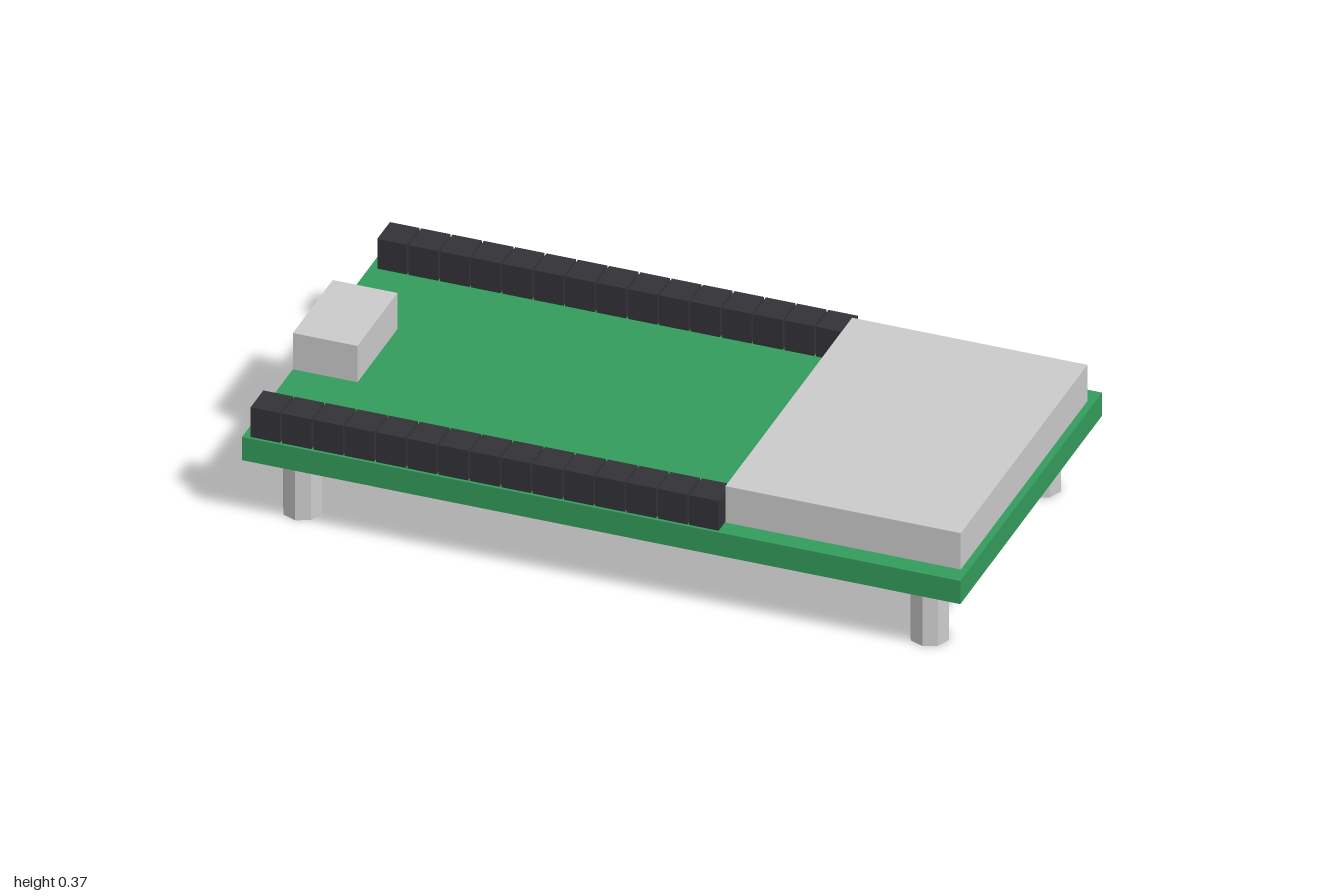
import * as THREE from 'three';

const grey = new THREE.MeshStandardMaterial({ color: 0xcccccc, flatShading: true });
const green = new THREE.MeshStandardMaterial({ color: 0x339c5c });
const black = new THREE.MeshStandardMaterial({ color: 0x333338 });

export function createModel() {
  const model = new THREE.Group();
  model.name = 'circuitBoard';

  const add = (name, geometry, material, x, y, z) => {
    const mesh = new THREE.Mesh(geometry, material);
    mesh.name = name;
    mesh.position.set(x, y, z);
    model.add(mesh);
  };

  // Board and the two metal housings on top of it
  const boardBottom = 0.185, boardTop = 0.255;
  add('board', new THREE.BoxGeometry(2, boardTop - boardBottom, 1.016), green, 0, (boardBottom + boardTop) / 2, 0);
  add('shieldCan', new THREE.BoxGeometry(0.655, 0.11, 0.908), grey, 0.6525, boardTop + 0.055, 0);
  add('portHousing', new THREE.BoxGeometry(0.18, 0.11, 0.286), grey, -0.91, boardTop + 0.055, 0);

  // Pin header blocks along both long edges
  const pinBlock = new THREE.BoxGeometry(0.082, 0.09, 0.091);
  for (const side of [1, -1]) {
    for (let i = 0; i < 15; i++) {
      add(side > 0 ? 'frontPinBlock' : 'backPinBlock', pinBlock, black,
        -0.938 + i * 0.0872, boardTop + 0.045, side * 0.454);
    }
  }

  // Octagonal standoff legs
  const leg = new THREE.CylinderGeometry(0.054, 0.054, boardBottom, 8);
  for (const x of [-0.873, 0.873]) {
    for (const z of [-0.4, 0.4]) add('standoffLeg', leg, grey, x, boardBottom / 2, z);
  }

  return model;
}
